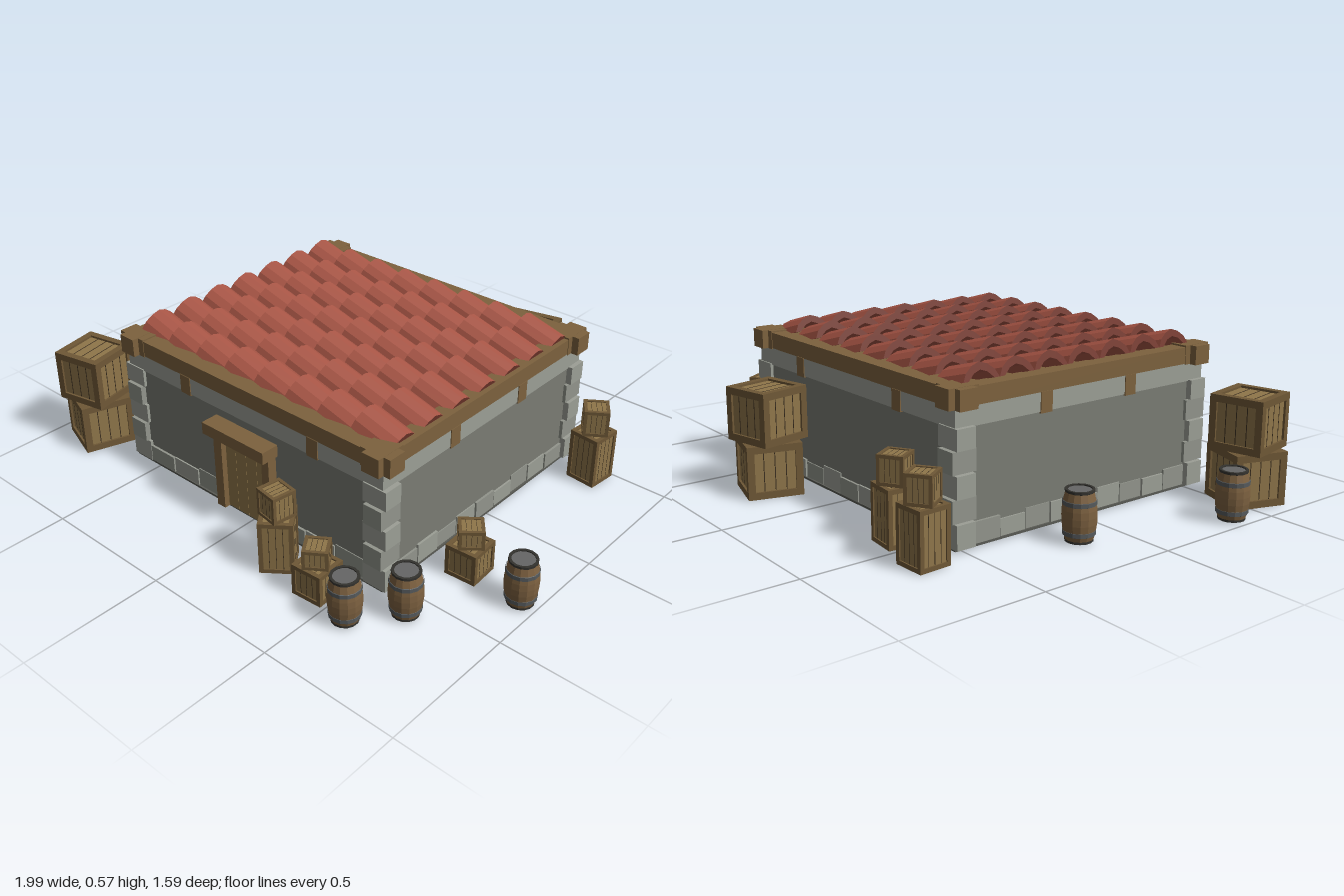
import * as THREE from 'three';

const mat = (color, side = THREE.FrontSide) =>
  new THREE.MeshStandardMaterial({ color, flatShading: true, side });
const WALL = mat(0x7a7c74), STONE = mat(0x9c9f96), STONE2 = mat(0x92958c), FLOOR = mat(0x5a5b55);
const BEAM = mat(0x7d623e), DOOR = mat(0x92784a), DARK = mat(0x3d3020);
const PANEL = mat(0x8f764a), FRAME = mat(0x6f5836);
const TILE = mat(0xa95646), TILE_END = mat(0x74382d);
const STAVE = mat(0x7d6140), HOOP = mat(0x565a5c), LID = mat(0x666666), RIM = mat(0x34332f);

// Box given by its minimum and maximum corners
function block(parent, name, m, x0, x1, y0, y1, z0, z1) {
  const mesh = new THREE.Mesh(new THREE.BoxGeometry(x1 - x0, y1 - y0, z1 - z0), m);
  mesh.position.set((x0 + x1) / 2, (y0 + y1) / 2, (z0 + z1) / 2);
  mesh.name = name;
  parent.add(mesh);
  return mesh;
}

// Centre lines of the four walls
const XL = -0.585, XR = 0.553, ZB = -0.495, ZF = 0.53;

function walls() {
  const g = new THREE.Group();
  g.name = 'walls';
  const t = 0.025;
  block(g, 'wallCore', WALL, XL - t, XR + t, 0.015, 0.5, ZB - t, ZF + t);
  block(g, 'floor', FLOOR, XL - t - 0.01, XR + t + 0.01, 0.01, 0.018, ZB - t - 0.01, ZF + t + 0.01);
  // Light stone course below the beams
  block(g, 'topCourse', STONE, XL - t - 0.006, XR + t + 0.006, 0.395, 0.46, ZB - t - 0.006, ZF + t + 0.006);

  // Corner stones, alternating long and short
  const levels = [0.015, 0.1, 0.178, 0.255, 0.33, 0.402];
  for (const x of [XL, XR]) for (const z of [ZB, ZF]) {
    for (let i = 0; i < 5; i++) {
      const a = i % 2 ? 0.037 : 0.047, b = i % 2 ? 0.046 : 0.036;
      block(g, 'cornerStone', i % 2 ? STONE2 : STONE, x - a, x + a, levels[i], levels[i + 1] - 0.003, z - b, z + b);
    }
  }

  // Foundation stones of uneven height on all sides
  const row = (a, b, n, alongX, c) => {
    const w = (b - a) / n;
    for (let i = 0; i < n; i++) {
      const s = a + i * w + 0.002, e = a + (i + 1) * w - 0.002;
      const h = 0.083 + 0.008 * Math.sin(i * 2.3 + c * 7), d = 0.031 + 0.003 * Math.cos(i * 1.7);
      const m = i % 2 ? STONE : STONE2;
      if (alongX) block(g, 'foundationStone', m, s, e, 0.015, h, c - d, c + d);
      else block(g, 'foundationStone', m, c - d, c + d, 0.015, h, s, e);
    }
  };
  row(XL + 0.045, -0.155, 3, true, ZF);
  row(0.12, XR - 0.045, 3, true, ZF);
  row(XL + 0.045, XR - 0.045, 9, true, ZB);
  row(ZB + 0.04, ZF - 0.04, 9, false, XL);
  row(ZB + 0.04, ZF - 0.04, 9, false, XR);
  return g;
}

function timber() {
  const g = new THREE.Group();
  g.name = 'timberFrame';
  const w = 0.034;
  for (const z of [ZB, ZF]) {
    block(g, 'crossBeam', BEAM, -0.63, 0.598, 0.459, 0.517, z - w + 0.002, z + w - 0.002);
    for (const x of [-0.31, 0.29]) block(g, 'bracket', BEAM, x - 0.024, x + 0.024, 0.39, 0.46, z - w, z + w);
  }
  for (const x of [XL, XR]) {
    block(g, 'sideBeam', BEAM, x - w + 0.002, x + w - 0.002, 0.459, 0.517, -0.54, 0.57);
    for (const z of [-0.165, 0.207]) block(g, 'bracket', BEAM, x - w, x + w, 0.39, 0.46, z - 0.024, z + 0.024);
    // Crossing beam ends
    for (const z of [ZB, ZF]) {
      block(g, 'beamEnd', BEAM, x - 0.06, x + 0.06, 0.455, 0.522, z - w, z + w);
      block(g, 'beamEnd', BEAM, x - w, x + w, 0.456, 0.523, z - 0.057, z + 0.057);
    }
  }
  return g;
}

function door() {
  const g = new THREE.Group();
  g.name = 'door';
  for (let i = 0; i < 4; i++) {
    const x = -0.115 + i * 0.05;
    block(g, 'doorPlank', DOOR, x, x + 0.049, 0.018, 0.32, 0.53, 0.569);
  }
  block(g, 'doorPost', BEAM, -0.152, -0.114, 0.015, 0.32, 0.53, 0.59);
  block(g, 'doorPost', BEAM, 0.082, 0.115, 0.015, 0.32, 0.53, 0.59);
  block(g, 'lintel', BEAM, -0.166, 0.125, 0.318, 0.362, 0.53, 0.623);
  return g;
}

// Seven rows of eight overlapping arched tiles, each tilted down to the left side
function roof() {
  const g = new THREE.Group();
  g.name = 'roof';
  block(g, 'roofDeck', BEAM, XL, XR, 0.47, 0.503, ZB, ZF);
  const outer = [[-0.07, 0], [-0.056, 0.026], [-0.03, 0.046], [0, 0.056], [0.03, 0.046], [0.056, 0.026], [0.07, 0]];
  const inner = [[0.05, 0], [0.026, 0.022], [0, 0.031], [-0.026, 0.022], [-0.05, 0]];
  const arch = new THREE.Shape([...outer, ...inner].map(p => new THREE.Vector2(...p)));
  const geo = new THREE.ExtrudeGeometry(arch, { depth: 0.156, bevelEnabled: false });
  geo.rotateY(Math.PI / 2);
  geo.rotateZ(-0.27);
  for (let r = 0; r < 7; r++) for (let c = 0; c < 8; c++) {
    const tile = new THREE.Mesh(geo, [TILE_END, TILE]);
    tile.name = 'roofTile';
    tile.position.set(-0.591 + c * 0.1425, 0.526, -0.405 + r * 0.1408);
    g.add(tile);
  }
  return g;
}

// Framed crate with recessed, planked panels
function crate(s, h) {
  const g = new THREE.Group();
  g.name = 'crate';
  const a = s / 2, b = s * 0.13, e = s * 0.04;
  block(g, 'panels', PANEL, e - a, a - e, e, h - e, e - a, a - e);
  for (const k of [-0.2, 0, 0.2]) {
    const p = k * s, t = s * 0.008, q = a - e * 0.9;
    block(g, 'plankGap', DARK, p - t, p + t, e * 0.9, h - e * 0.9, -q, q);
    block(g, 'plankGap', DARK, -q, q, e * 1.2, h - e * 1.2, p - t, p + t);
  }
  for (const u of [-1, 1]) for (const v of [-1, 1]) {
    const lo = k => (k < 0 ? -a : a - b), y = u < 0 ? 0 : h - b;
    block(g, 'frameUpright', FRAME, lo(u), lo(u) + b, 0, h, lo(v), lo(v) + b);
    block(g, 'frameRail', FRAME, b - a, a - b, y, y + b, lo(v), lo(v) + b);
    block(g, 'frameRail', FRAME, lo(v), lo(v) + b, y, y + b, b - a, a - b);
  }
  return g;
}

function crateStack(x, z, [s1, h1, s2, h2], r1, r2) {
  const g = new THREE.Group();
  g.name = 'crateStack';
  const low = crate(s1, h1), top = crate(s2, h2);
  low.rotation.y = r1;
  top.rotation.y = r2;
  top.position.y = h1;
  g.add(low, top);
  g.position.set(x, 0.005, z);
  return g;
}

function barrel(x, z) {
  const g = new THREE.Group();
  g.name = 'barrel';
  const lathe = (name, m, pts) => {
    const mesh = new THREE.Mesh(new THREE.LatheGeometry(pts.map(p => new THREE.Vector2(...p)), 14), m);
    mesh.name = name;
    g.add(mesh);
  };
  const radius = y => 0.057 - 0.013 * ((y - 0.083) / 0.083) ** 2;
  const ys = [0, 0.03, 0.06, 0.083, 0.106, 0.136, 0.166];
  lathe('staves', STAVE, ys.map(y => [radius(y), y]));
  for (const y of [0.03, 0.128])
    lathe('hoop', HOOP, [[radius(y), y - 0.008], [radius(y) + 0.002, y - 0.007], [radius(y) + 0.002, y + 0.007], [radius(y), y + 0.008]]);
  lathe('rim', RIM, [[0.044, 0.16], [0.048, 0.162], [0.048, 0.17], [0.039, 0.17], [0.039, 0.164]]);
  lathe('lid', LID, [[0.041, 0.166], [0, 0.166]]);
  lathe('base', RIM, [[0, 0], [0.046, 0], [0.046, 0.008]]);
  g.position.set(x, 0.012, z);
  return g;
}

export function createModel() {
  const model = new THREE.Group();
  model.name = 'storehouse';
  model.add(walls(), timber(), door(), roof());

  const big = [0.195, 0.19, 0.195, 0.19], tall = [0.116, 0.195, 0.09, 0.1], low = [0.116, 0.115, 0.085, 0.07];
  const stacks = [
    [-0.832, 0.565, big, -0.33, 0.2], [0.265, -0.68, big, -0.27, 0.22],
    [-0.63, -0.655, tall, 0.05, 0.6], [-0.43, -0.615, tall, -0.1, 0.55],
    [0.725, -0.44, tall, -0.1, 0.6], [0.725, 0.29, low, 0.06, 0.7],
    [0.232, 0.67, tall, 0.65, -0.15], [0.425, 0.69, low, 0.06, 0.6],
  ];
  for (const s of stacks) model.add(crateStack(...s));

  const barrels = [[-0.778, -0.165], [-0.942, 0.365], [0.94, 0.31], [0.705, 0.59], [0.583, 0.735]];
  for (const b of barrels) model.add(barrel(...b));
  return model;
}
